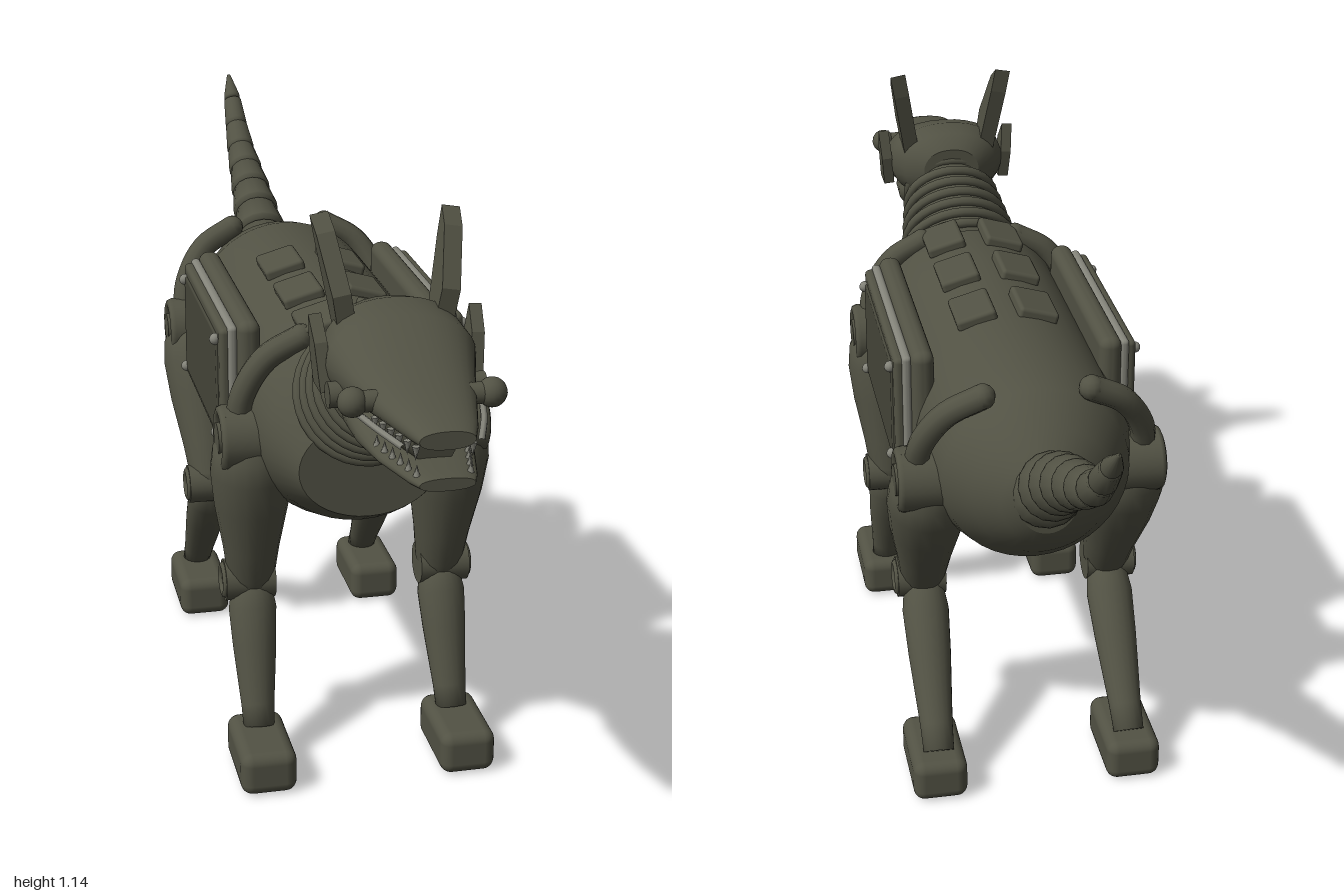
import * as THREE from 'three';
import { RoundedBoxGeometry } from 'three/addons/geometries/RoundedBoxGeometry.js';

const V = (x, y, z) => new THREE.Vector3(x, y, z);
const mat = (name, color) => Object.assign(new THREE.MeshStandardMaterial({ color }), { name });

export function createModel() {
  const model = new THREE.Group();
  model.name = 'mechanicalDog';
  const olive = mat('olive metal', 0x525244);
  const dark = mat('dark olive', 0x454539);
  const light = mat('worn steel', 0x84847a);

  const add = (name, geo, m = olive, p = [0, 0, 0], r = [0, 0, 0]) => {
    const mesh = new THREE.Mesh(geo, m);
    mesh.name = name;
    mesh.position.set(...p);
    mesh.rotation.set(...r);
    model.add(mesh);
    return mesh;
  };

  // Oval cross-sections [z, bottom, top, half width], z ascending, with flat end caps
  const loft = (sections, n = 32, power = 1) => {
    const pos = [], idx = [];
    const ring = ([z, lo, hi, w]) => {
      for (let j = 0; j < n; j++) {
        const a = (j / n) * Math.PI * 2, c = Math.cos(a), s = Math.sin(a);
        pos.push(w * Math.sign(c) * Math.abs(c) ** power, (lo + hi) / 2 + ((hi - lo) / 2) * Math.sign(s) * Math.abs(s) ** power, z);
      }
    };
    sections.forEach(ring);
    for (let i = 0; i < sections.length - 1; i++)
      for (let j = 0; j < n; j++) {
        const a = i * n + j, b = i * n + ((j + 1) % n);
        idx.push(a, b, a + n, b, b + n, a + n);
      }
    [sections[0], sections[sections.length - 1]].forEach((s, end) => {
      const base = pos.length / 3;
      ring(s);
      pos.push(0, (s[1] + s[2]) / 2, s[0]);
      for (let j = 0; j < n; j++) {
        const a = base + j, b = base + ((j + 1) % n);
        idx.push(base + n, ...(end ? [a, b] : [b, a]));
      }
    });
    const g = new THREE.BufferGeometry();
    g.setAttribute('position', new THREE.Float32BufferAttribute(pos, 3));
    g.setIndex(idx);
    g.computeVertexNormals();
    return g;
  };

  // Turned part between two points; profile is [radius, fraction of length]
  const limb = (name, a, b, profile, m = olive, sides = 20) => {
    const d = b.clone().sub(a), len = d.length();
    const pts = [[0, profile[0][1]], ...profile, [0, profile[profile.length - 1][1]]];
    const mesh = add(name, new THREE.LatheGeometry(pts.map(([r, t]) => new THREE.Vector2(r, t * len)), sides), m, a.toArray());
    mesh.quaternion.setFromUnitVectors(V(0, 1, 0), d.normalize());
    return mesh;
  };

  // Flat plate drawn in (z, y), thickness along x
  const plate = (name, pts, thick, p, r) => {
    const shape = new THREE.Shape(pts.map(([z, y]) => new THREE.Vector2(z, y)));
    const g = new THREE.ExtrudeGeometry(shape, { depth: thick, bevelEnabled: false });
    g.translate(0, 0, -thick / 2).rotateY(-Math.PI / 2);
    return add(name, g, olive, p, r);
  };
  const disc = (name, r, len, p, m = olive) => add(name, new THREE.CylinderGeometry(r, r, len, 24), m, p, [0, 0, Math.PI / 2]);

  // Torso
  add('body', loft([
    [-0.495, 0.62, 0.75, 0.055], [-0.48, 0.59, 0.77, 0.085], [-0.44, 0.55, 0.81, 0.13],
    [-0.38, 0.505, 0.855, 0.175], [-0.31, 0.482, 0.872, 0.195], [-0.1, 0.478, 0.87, 0.2],
    [0.2, 0.478, 0.87, 0.2], [0.35, 0.48, 0.868, 0.2], [0.42, 0.505, 0.835, 0.18], [0.485, 0.54, 0.73, 0.13],
  ], 40));

  // Back plates in three pairs
  for (const z of [-0.043, 0.142, 0.32])
    for (const s of [-1, 1])
      add('backPlate', new RoundedBoxGeometry(0.08, 0.025, 0.115, 2, 0.008), olive, [s * 0.06, 0.865, z], [0, 0, -s * 0.28]);

  // Neck with slanted rings
  const n0 = V(0, 0.75, 0.42), n1 = V(0, 0.88, 0.66);
  limb('neck', n0, n1, [[0.122, -0.15], [0.118, 0.1], [0.082, 1]], olive, 28);
  const neckDir = n1.clone().sub(n0).normalize();
  for (let i = 0; i < 7; i++) {
    const t = 0.1 + i * 0.125;
    const ring = add('neckRing', new THREE.TorusGeometry(0.127 - 0.045 * t, 0.0105, 8, 32), olive, n0.clone().lerp(n1, t).toArray());
    ring.quaternion.setFromUnitVectors(V(0, 0, 1), neckDir);
  }

  // Head and jaw
  add('skull', loft([
    [0.575, 0.87, 0.965, 0.06], [0.6, 0.845, 0.995, 0.1], [0.64, 0.835, 1.005, 0.122], [0.7, 0.835, 0.992, 0.128],
    [0.78, 0.85, 0.95, 0.105], [0.87, 0.86, 0.927, 0.082], [0.96, 0.866, 0.912, 0.058], [0.995, 0.87, 0.9, 0.045],
  ], 32, 0.9));
  add('lowerJaw', loft([
    [0.63, 0.825, 0.88, 0.08], [0.7, 0.785, 0.87, 0.1], [0.78, 0.785, 0.85, 0.095],
    [0.87, 0.795, 0.828, 0.08], [0.97, 0.8, 0.828, 0.056], [1.0, 0.804, 0.825, 0.045],
  ], 28, 0.85));
  add('mouthInside', loft([[0.7, 0.8, 0.9, 0.07], [0.85, 0.81, 0.89, 0.055], [0.92, 0.815, 0.88, 0.035]], 20), dark);

  for (const s of [-1, 1]) {
    // Lips and teeth
    const lip = new THREE.CatmullRomCurve3([V(s * 0.103, 0.875, 0.83), V(s * 0.088, 0.873, 0.89), V(s * 0.062, 0.867, 0.965)]);
    add('lip', new THREE.TubeGeometry(lip, 10, 0.006, 6), light);
    for (let i = 0; i < 6; i++) {
      const z = 0.84 + i * 0.027, x = s * (0.078 - i * 0.0065);
      add('upperTooth', new THREE.ConeGeometry(0.007, 0.024, 6), light, [x, 0.86, z], [Math.PI, 0, 0]);
      add('lowerTooth', new THREE.ConeGeometry(0.006, 0.02, 6), light, [x * 0.95, 0.832, z]);
    }
    // Eyes, jaw hinges, ears and cheek fins
    disc('eyeStalk', 0.018, 0.05, [s * 0.095, 0.9, 0.84]);
    add('eye', new THREE.SphereGeometry(0.025, 18, 12), olive, [s * 0.115, 0.9, 0.84]);
    disc('jawHinge', 0.022, 0.03, [s * 0.118, 0.875, 0.735]);
    plate('ear', [[0.02, -0.04], [0.025, 0.03], [-0.03, 0.125], [-0.065, 0.15], [-0.06, 0.1], [-0.03, -0.04]],
      0.032, [s * 0.088, 0.99, 0.64], [0, 0, -s * 0.17]);
    plate('cheekFin', [[0.04, -0.03], [0.02, 0.05], [-0.015, 0.09], [-0.03, 0.03], [-0.02, -0.03]],
      0.022, [s * 0.13, 0.9, 0.67], [0, 0, -s * 0.08]);

    // Side panel: backing, steel trim, cover, raised frame and bolts
    const panel = (name, x, thick, h, w, m) =>
      add(name, new RoundedBoxGeometry(thick, h, w, 3, Math.min(0.02, thick * 0.45)), m, [s * x, 0.718, 0.04]);
    panel('panelBacking', 0.18, 0.044, 0.272, 0.485, olive);
    panel('panelTrim', 0.209, 0.018, 0.25, 0.455, light);
    panel('panelCover', 0.222, 0.022, 0.238, 0.44, olive);
    panel('panelCentre', 0.232, 0.01, 0.2, 0.39, dark);
    for (const y of [0.625, 0.81])
      for (const z of [-0.15, 0.23])
        add('panelBolt', new THREE.SphereGeometry(0.011, 10, 8), light, [s * 0.237, y, z]);

    // Legs: hip, knee, ankle and foot positions as [y, z]
    for (const [end, hip, knee, ankle, footZ] of [
      ['front', [0.655, 0.34], [0.345, 0.29], [0.08, 0.39], 0.427],
      ['rear', [0.655, -0.31], [0.355, -0.165], [0.085, -0.385], -0.342],
    ]) {
      const k = V(s * 0.185, ...knee), h = V(s * 0.19, ...hip);
      limb(end + 'Thigh', k, h, [[0.035, -0.06], [0.046, 0.05], [0.054, 0.25], [0.07, 0.55], [0.077, 0.78], [0.072, 0.92], [0.045, 1.08]]);
      const shin = limb(end + 'Shin', V(s * 0.19, ...ankle), k,
        [[0.03, 0], [0.032, 0.15], [0.042, 0.55], [0.046, 0.8], [0.036, 1]]);
      shin.scale.z = 0.9;
      disc(end + 'HipDisc', 0.062, 0.07, [s * 0.207, ...hip]);
      add(end + 'HipRing', new THREE.TorusGeometry(0.051, 0.011, 8, 28), olive, [s * 0.242, ...hip], [0, Math.PI / 2, 0]);
      disc(end + 'HipCap', 0.03, 0.02, [s * 0.245, ...hip]);
      disc(end + 'KneeDisc', 0.04, 0.095, [s * 0.19, ...knee]);
      add(end + 'KneeRing', new THREE.TorusGeometry(0.028, 0.007, 8, 20), olive, [s * 0.237, ...knee], [0, Math.PI / 2, 0]);
      add(end + 'Foot', new RoundedBoxGeometry(0.106, 0.085, 0.185, 3, 0.022), olive, [s * 0.192, 0.0425, footZ]);

      // Strap curving from the hip over the flank
      const lean = end === 'front' ? 0.02 : -0.07;
      const strap = new THREE.CatmullRomCurve3([
        V(s * 0.215, 0.67, hip[1]), V(s * 0.207, 0.74, hip[1] + lean * 0.4),
        V(s * 0.165, 0.81, hip[1] + lean * 0.8), V(s * 0.1, 0.848, hip[1] + lean)]);
      add(end + 'Strap', new THREE.TubeGeometry(strap, 16, 0.024, 10), olive);
      add(end + 'StrapEnd', new THREE.SphereGeometry(0.024, 12, 8), olive, [s * 0.1, 0.848, hip[1] + lean]);
    }
  }

  // Tail of overlapping tapered segments
  const tail = new THREE.CatmullRomCurve3([V(0, 0.69, -0.46), V(0, 0.77, -0.58), V(0, 0.845, -0.72), V(0, 0.91, -0.85), V(0, 1.045, -0.995)]);
  const count = 9;
  for (let i = 0; i < count; i++) {
    const r = 0.058 * (1 - i / count) + 0.012, r2 = i === count - 1 ? 0.004 : r * 0.8;
    limb('tailSegment', tail.getPointAt(i / count), tail.getPointAt((i + 1) / count), [[r2, 0], [r * 0.85, 0.03], [r, 0.12], [r * 0.98, 0.2], [r2, 1]], olive, 16);
  }
  return model;
}
